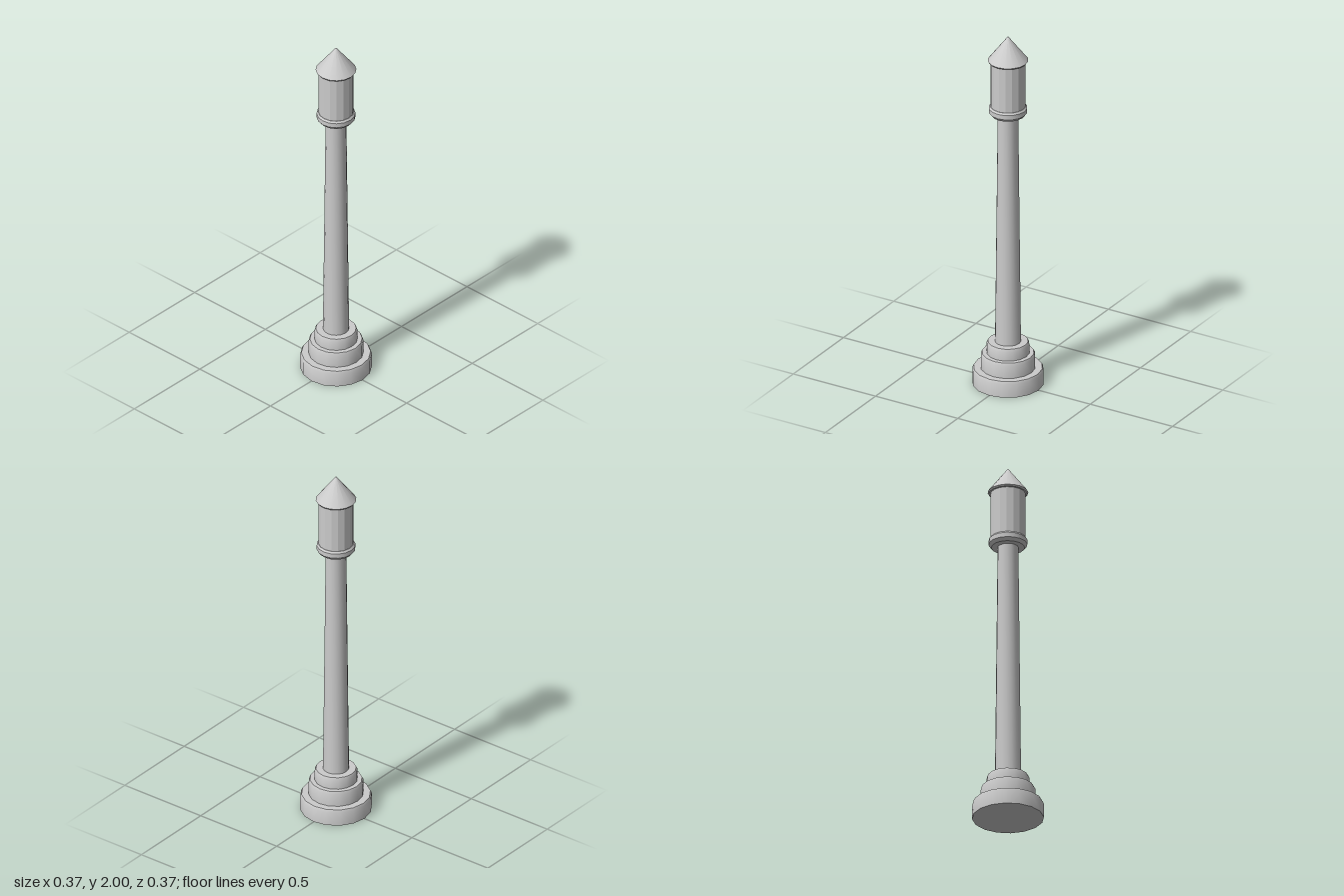
import * as THREE from 'three';
import { toCreasedNormals } from 'three/addons/utils/BufferGeometryUtils.js';

const SIDES = 16;

export function createModel() {
  const model = new THREE.Group();
  model.name = 'lampPost';
  const smooth = new THREE.MeshStandardMaterial({ color: 0xcccccc });
  const faceted = new THREE.MeshStandardMaterial({ color: 0xcccccc, flatShading: true });

  // Turned part from [radius, height] pairs, bottom to top
  function turned(name, profile, material = smooth) {
    const points = profile.map(([r, y]) => new THREE.Vector2(r, y));
    const lathe = new THREE.LatheGeometry(points, SIDES);
    const mesh = new THREE.Mesh(toCreasedNormals(lathe, 0.6), material);
    mesh.name = name;
    model.add(mesh);
  }

  // Stepped base with softened upper edges
  const tiers = [
    ['baseLower', 0.187, 0, 0.09],
    ['baseMiddle', 0.143, 0.09, 0.175],
    ['baseUpper', 0.112, 0.175, 0.24],
  ];
  for (const [name, r, bottom, top] of tiers) {
    turned(name, [
      [0, bottom], [r, bottom], [r, top - 0.014],
      [r - 0.007, top], [0, top],
    ]);
  }

  // Slightly tapered shaft
  turned('shaft', [[0.068, 0.24], [0.054, 1.55]]);

  // Collar under the lantern
  turned('collar', [
    [0, 1.548], [0.087, 1.548], [0.101, 1.565],
    [0.101, 1.59], [0.093, 1.6], [0, 1.6],
  ]);

  // Faceted lantern body
  turned('lantern', [[0.091, 1.6], [0.091, 1.856]], faceted);

  // Conical roof with a thin rim
  turned('roof', [[0, 1.855], [0.1, 1.855], [0.106, 1.863], [0, 2]]);

  return model;
}
